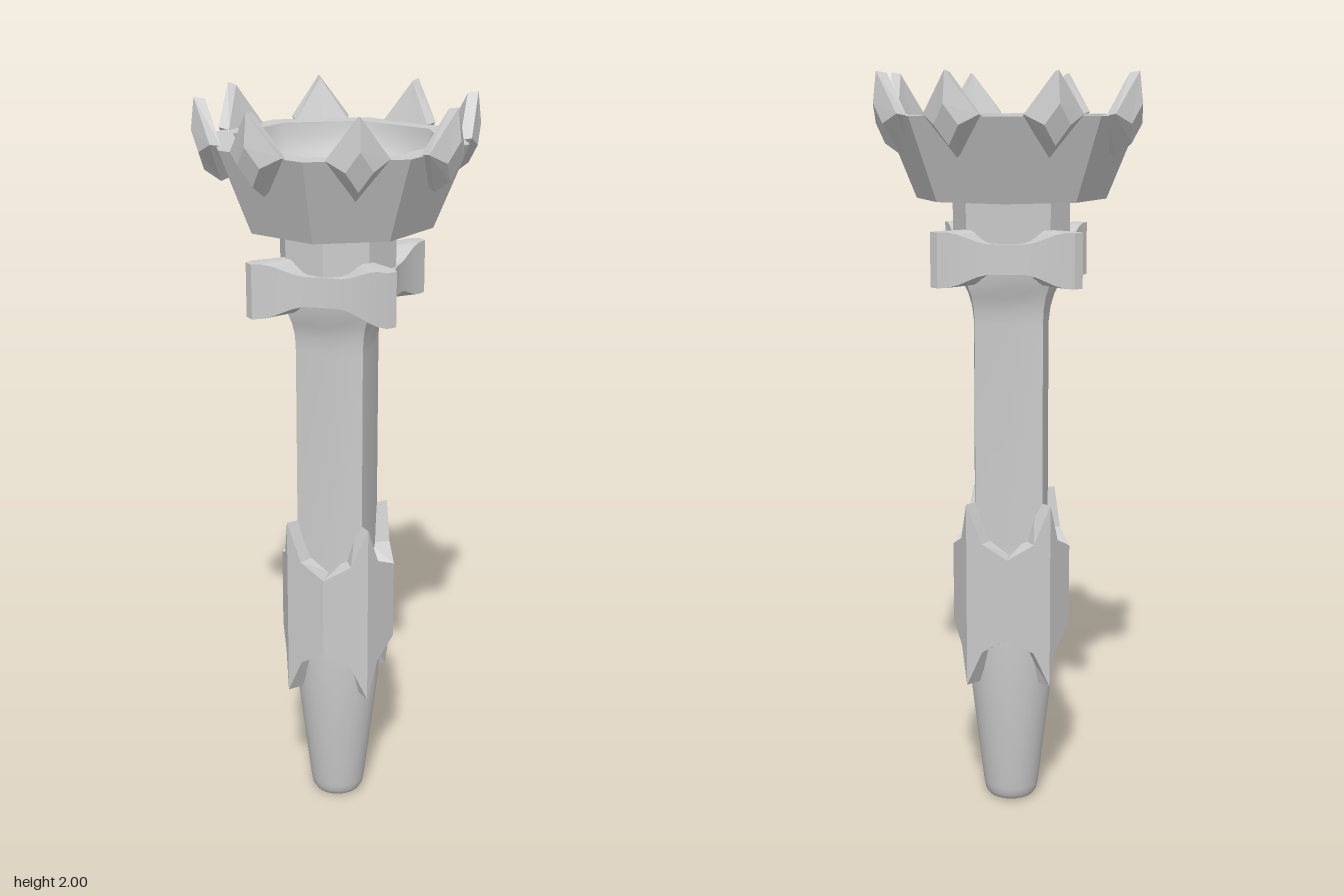
import * as THREE from 'three';
import { toCreasedNormals } from 'three/addons/utils/BufferGeometryUtils.js';

const smoothMat = new THREE.MeshStandardMaterial({ color: 0xcccccc });
const flatMat = new THREE.MeshStandardMaterial({ color: 0xcccccc, flatShading: true });

function part(name, geometry, material = smoothMat) {
  const mesh = new THREE.Mesh(geometry, material);
  mesh.name = name;
  return mesh;
}

// Skin closed rings (bottom to top, counter-clockwise seen from above)
function loft(rings) {
  const n = rings[0].length, index = [];
  for (let j = 0; j < rings.length - 1; j++) {
    for (let i = 0; i < n; i++) {
      const a = j * n + i, b = j * n + (i + 1) % n;
      index.push(a, b, b + n, a, b + n, a + n);
    }
  }
  const geo = new THREE.BufferGeometry();
  geo.setAttribute('position', new THREE.Float32BufferAttribute(rings.flat(2), 3));
  geo.setIndex(index);
  return geo;
}

const lathe = (points, sides) =>
  new THREE.LatheGeometry(points.map(([r, y]) => new THREE.Vector2(r, y)), sides);

// Scale a ring towards the axis, keeping its heights
const shrink = (ring, k) => ring.map(([x, y, z]) => [x * k, y, z * k]);

// Eight-point ring: r0 at the face middles, r1 at the diagonal corners
const shaftRing = ([r0, r1, y]) => Array.from({ length: 8 }, (_, i) => {
  const a = i * Math.PI / 4, r = i % 2 ? r1 : r0;
  return [Math.sin(a) * r, y, Math.cos(a) * r];
});

// Octagonal sleeve whose edges run out to spikes at the diagonals
function gripGeometry() {
  const top = [], bottom = [];
  const heights = [[0, 0.73, 0.51], [0.62, 0.765, 0.46], [1, 0.87, 0.36], [0.38, 0.765, 0.46]];
  const R = 0.16;
  for (let q = 0; q < 4; q++) {
    heights.forEach(([t, yt, yb], k) => {
      const first = 2 * q + (k === 3 ? 1 : 0);
      const a = first * Math.PI / 4, b = a + Math.PI / 4;
      const x = R * THREE.MathUtils.lerp(Math.sin(a), Math.sin(b), t);
      const z = R * THREE.MathUtils.lerp(Math.cos(a), Math.cos(b), t);
      top.push([x, yt, z]);
      bottom.push([x, yb, z]);
    });
  }
  return loft([shrink(bottom, 0.6), bottom, top, shrink(top, 0.6)]);
}

// Four-pointed collar with concave sides, taller at its points
function collarGeometry() {
  const top = [], bottom = [], steps = 14;
  for (let q = 0; q < 4; q++) {
    const c = Math.cos(q * Math.PI / 2), s = Math.sin(q * Math.PI / 2);
    for (let i = 0; i <= steps; i++) {
      const t = 2 * i / steps - 1;
      const x = 0.175 * t, z = 0.158 + 0.037 * t * t;
      const rise = 0.032 * THREE.MathUtils.smoothstep(Math.abs(t), 0.25, 0.9);
      const px = x * c + z * s, pz = z * c - x * s;
      top.push([px, 1.568 + rise, pz]);
      bottom.push([px, 1.49 - rise, pz]);
    }
  }
  return loft([shrink(bottom, 0.5), bottom, top, shrink(top, 0.5)]);
}

// Bevelled diamond leaning outwards along the cup wall
function crystalGeometry() {
  const diamond = (w, low, mid, high, out) =>
    [[0, low], [w, mid], [0, high], [-w, mid]].map(([x, y]) => [x, y, 0.305 + (y - 1.89) * 0.3 + out]);
  const back = diamond(0.07, 1.8, 1.89, 1.995, -0.005);
  const girdle = diamond(0.078, 1.79, 1.895, 2, 0.022);
  const face = diamond(0.034, 1.82, 1.87, 1.92, 0.055);
  const centre = (d) => d.map(() => [0, d[1][1], d[0][2] / 2 + d[2][2] / 2]);
  return loft([centre(back), back, girdle, face, centre(face)]);
}

export function createModel() {
  const model = new THREE.Group();
  model.name = 'sceptre';

  // Handle: round tapered foot, bulged square shaft flaring under the collar
  model.add(part('foot', toCreasedNormals(lathe([
    [0, 0], [0.05, 0], [0.064, 0.007], [0.072, 0.02], [0.076, 0.04], [0.115, 0.37], [0.118, 0.5],
  ], 32), 0.8)));
  const shaft = [
    [0.1, 0.127, 0.45], [0.1, 0.127, 1.35], [0.105, 0.129, 1.39],
    [0.115, 0.137, 1.425], [0.13, 0.15, 1.455], [0.138, 0.158, 1.5],
  ].map(shaftRing);
  model.add(part('shaft', toCreasedNormals(loft(shaft), 0.6)));
  model.add(part('grip', gripGeometry(), flatMat));

  // Collar and neck
  model.add(part('collar', toCreasedNormals(collarGeometry(), 0.5)));
  model.add(part('neck', lathe([[0.155, 1.5], [0.155, 1.68]], 8), flatMat));

  // Octagonal cup: faceted outside and rim, smooth hollow inside
  model.add(part('cup', lathe([[0, 1.675], [0.25, 1.675], [0.338, 1.89], [0.277, 1.89]], 8), flatMat));
  const hollow = Array.from({ length: 9 }, (_, i) => {
    const a = i / 8 * Math.PI / 2;
    return [0.277 * Math.cos(a), 1.89 - 0.19 * Math.sin(a)];
  });
  model.add(part('cupHollow', lathe(hollow, 8)));

  // Ring of crystals, one on each cup face
  const crystals = new THREE.Group();
  crystals.name = 'crystals';
  const crystalGeo = crystalGeometry();
  for (let i = 0; i < 8; i++) {
    const crystal = part('crystal', crystalGeo, flatMat);
    crystal.rotation.y = (i + 0.5) * Math.PI / 4;
    crystals.add(crystal);
  }
  model.add(crystals);
  return model;
}
